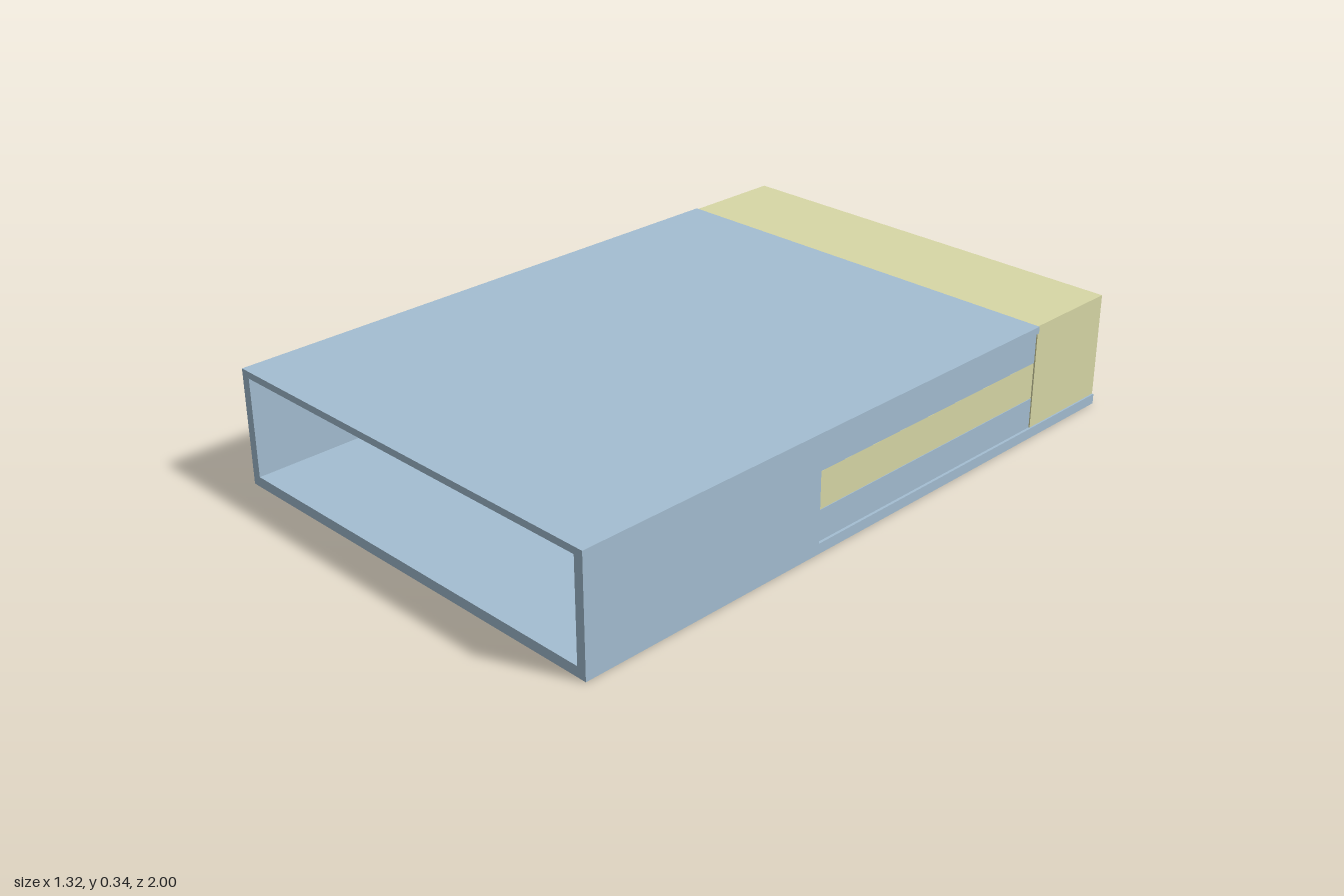
import * as THREE from 'three';

const blue = new THREE.MeshStandardMaterial({ color: 0xa4bed2 });
const yellow = new THREE.MeshStandardMaterial({ color: 0xd8d8a6 });

// Box given by its extents on each axis
function block(name, material, [x0, x1], [y0, y1], [z0, z1]) {
  const mesh = new THREE.Mesh(new THREE.BoxGeometry(x1 - x0, y1 - y0, z1 - z0), material);
  mesh.name = name;
  mesh.position.set((x0 + x1) / 2, (y0 + y1) / 2, (z0 + z1) / 2);
  return mesh;
}

// Side wall outline in (z, y), with a slot open towards the back
function sideWall(name, side) {
  const shape = new THREE.Shape([
    [1, 0.03], [1, 0.322], [-0.69, 0.322], [-0.69, 0.23],
    [0.21, 0.23], [0.21, 0.12], [-0.69, 0.12], [-0.69, 0.03],
  ].map(([z, y]) => new THREE.Vector2(-z, y)));
  const geometry = new THREE.ExtrudeGeometry(shape, { depth: 0.02, bevelEnabled: false });
  geometry.rotateY(Math.PI / 2);
  const mesh = new THREE.Mesh(geometry, blue);
  mesh.name = name;
  mesh.position.x = side > 0 ? 0.632 : -0.652;
  return mesh;
}

export function createModel() {
  const model = new THREE.Group();
  model.name = 'slidingBox';

  // Outer sleeve: long floor, shorter roof, slotted sides
  const sleeve = new THREE.Group();
  sleeve.name = 'sleeve';
  sleeve.add(block('floor', blue, [-0.66, 0.66], [0, 0.03], [-1, 1]));
  sleeve.add(block('roof', blue, [-0.66, 0.66], [0.322, 0.342], [-0.69, 1]));
  for (const side of [1, -1]) {
    const label = side > 0 ? 'left' : 'right';
    sleeve.add(sideWall(label + 'Wall', side));
    // Flush outer panel on the unslotted front part
    const xs = side > 0 ? [0.652, 0.66] : [-0.66, -0.652];
    sleeve.add(block(label + 'Panel', blue, xs, [0.03, 0.322], [0.21, 1]));
  }
  model.add(sleeve);

  // Inner tray: body, runners filling the slots, flush back end
  const tray = new THREE.Group();
  tray.name = 'tray';
  tray.add(block('trayBody', yellow, [-0.631, 0.631], [0.031, 0.321], [-0.69, 0.62]));
  tray.add(block('trayRunners', yellow, [-0.651, 0.651], [0.121, 0.229], [-0.69, 0.209]));
  tray.add(block('trayEnd', yellow, [-0.655, 0.655], [0.03, 0.341], [-1, -0.691]));
  model.add(tray);
  return model;
}
